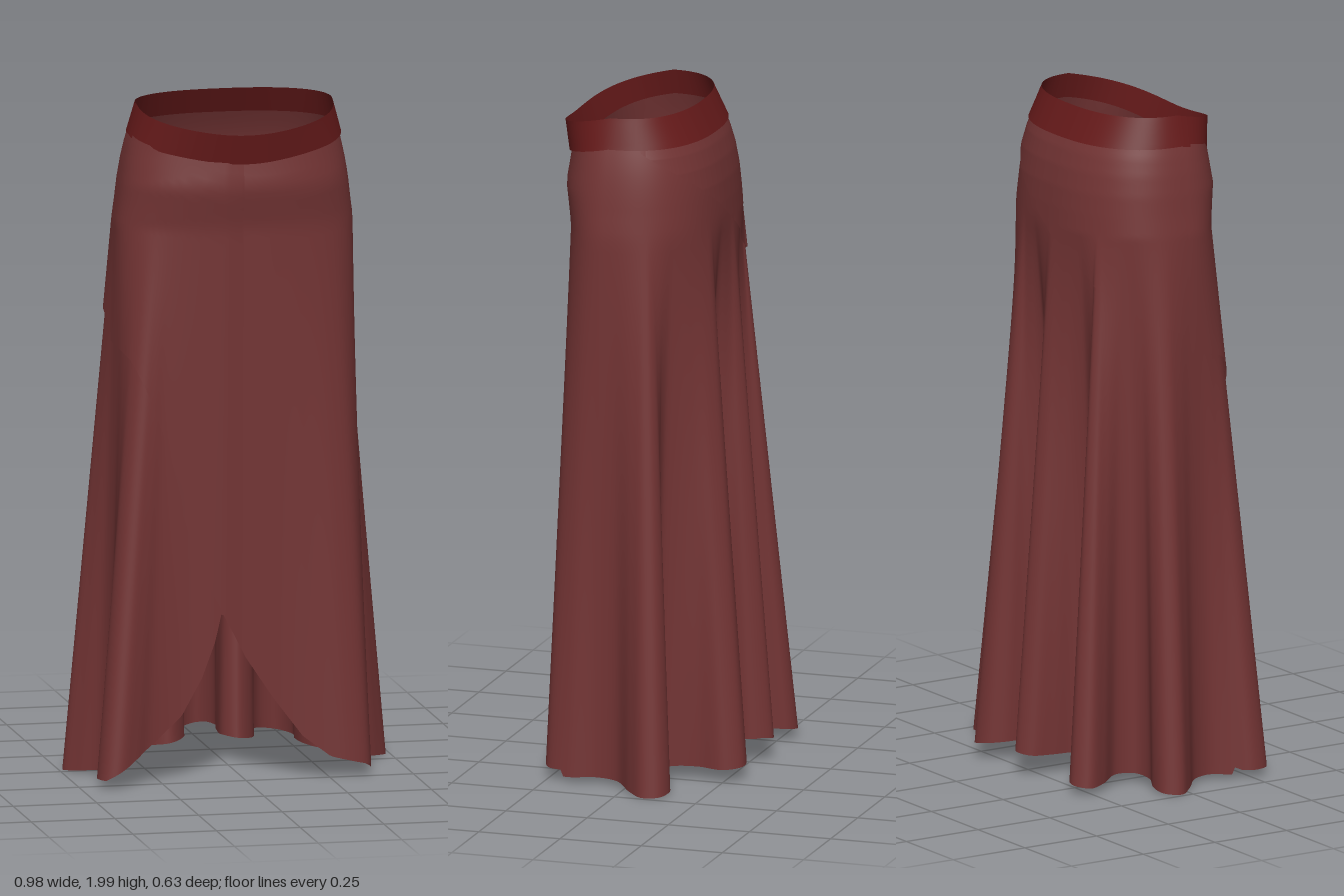
import * as THREE from 'three';

const N = 400;            // columns around the skirt
const CZ = 0.08;          // z of the body axis
const Y_HIP = 1.65;       // folds start below this height
const Y_HEM = 0.04;

// Hem outline as [x, z], running front -> left -> back -> right
const HEM = [
  [0, 0.24], [0.12, 0.24], [0.2, 0.255], [0.3, 0.27], [0.365, 0.25], [0.385, 0.18], [0.37, 0.1], [0.385, 0.03],
  [0.45, -0.03], [0.485, -0.08], [0.47, -0.13], [0.42, -0.145], [0.37, -0.11], [0.33, -0.06], [0.28, -0.05],
  [0.245, -0.1], [0.235, -0.17], [0.245, -0.25], [0.21, -0.3], [0.16, -0.295], [0.125, -0.25], [0.115, -0.18],
  [0.09, -0.09], [0.04, -0.05], [0, -0.08], [0, -0.17], [0.015, -0.26], [-0.03, -0.315], [-0.075, -0.29],
  [-0.09, -0.22], [-0.1, -0.15], [-0.15, -0.1], [-0.205, -0.13], [-0.25, -0.22], [-0.27, -0.28], [-0.31, -0.295],
  [-0.35, -0.26], [-0.33, -0.2], [-0.285, -0.13], [-0.3, -0.07], [-0.35, -0.055], [-0.41, -0.08], [-0.46, -0.075],
  [-0.485, -0.03], [-0.45, 0.02], [-0.4, 0.07], [-0.385, 0.13], [-0.41, 0.19], [-0.445, 0.25], [-0.43, 0.3],
  [-0.39, 0.315], [-0.34, 0.29], [-0.29, 0.255], [-0.2, 0.235], [-0.1, 0.238],
];

// Hip profile: [y, half width, back z, front z], top down
const PROFILE = [
  [1.93, 0.3, -0.13, 0.256], [1.88, 0.314, -0.152, 0.255], [1.83, 0.325, -0.167, 0.262],
  [1.77, 0.335, -0.178, 0.272], [1.71, 0.342, -0.184, 0.262], [1.65, 0.35, -0.188, 0.252],
];

// Front edges as [x, y]: the upper panel sweeps down to the left, the under panel to the right
const WRAP_EDGE = [[-0.39, 1.33], [-0.33, 1.26], [-0.27, 1.13], [-0.22, 0.98], [-0.19, 0.82], [-0.12, 0.62],
  [-0.07, 0.51], [0, 0.37], [0.08, 0.25], [0.17, 0.13], [0.25, 0.07], [0.37, 0.04]];
const UNDER_EDGE = [[-0.43, 0.03], [-0.36, 0.07], [-0.27, 0.13], [-0.19, 0.2], [-0.13, 0.31], [-0.09, 0.42], [-0.07, 0.51]];

// Linear lookup in a table sorted by its first entry
function lookup(table, x, k = 1) {
  if (x <= table[0][0]) return table[0][k];
  for (let i = 1; i < table.length; i++) {
    const a = table[i - 1], b = table[i];
    if (x <= b[0]) return a[k] + (b[k] - a[k]) * (x - a[0]) / (b[0] - a[0]);
  }
  return table[table.length - 1][k];
}
const PROFILE_UP = [...PROFILE].reverse();

// Rounded oval around the body, angle measured from the front towards the left
function oval(theta, rx, zb, zf) {
  const s = Math.sin(theta), c = Math.cos(theta), n = 2.4;
  const rz = c > 0 ? zf - CZ : CZ - zb;
  const r = (Math.abs(s / rx) ** n + Math.abs(c / rz) ** n) ** (-1 / n);
  return [r * s, CZ + r * c];
}

// Grid of cols x rows, optionally closed around; point(i, t) with t from top to bottom
function sheet(cols, rows, closed, point) {
  const pos = [], index = [];
  for (let i = 0; i < cols; i++)
    for (let j = 0; j <= rows; j++) pos.push(...point(i, j / rows));
  for (let i = 0; i < (closed ? cols : cols - 1); i++)
    for (let j = 0; j < rows; j++) {
      const a = i * (rows + 1) + j, b = ((i + 1) % cols) * (rows + 1) + j;
      index.push(a, a + 1, b, b, a + 1, b + 1);
    }
  const g = new THREE.BufferGeometry();
  g.setAttribute('position', new THREE.Float32BufferAttribute(pos, 3));
  g.setIndex(index);
  g.computeVertexNormals();
  return g;
}

export function createModel() {
  const group = new THREE.Group();
  group.name = 'wrapSkirt';

  const curve = new THREE.CatmullRomCurve3(HEM.map(([x, z]) => new THREE.Vector3(x, 0, z)), true);
  curve.arcLengthDivisions = 1500;
  const hem = curve.getSpacedPoints(N).slice(0, N);

  // Body angle of each column: the hem angle, unwrapped and smoothed across the folds
  const raw = [];
  let last = 0;
  for (const p of hem) {
    const a = Math.atan2(p.x, p.z - CZ);
    last += Math.atan2(Math.sin(a - last), Math.cos(a - last));
    raw.push(last);
  }
  const W = 20;
  const theta = raw.map((_, i) => {
    let sum = 0;
    for (let k = i - W; k <= i + W; k++) sum += raw[(k + N) % N] + 2 * Math.PI * Math.floor(k / N);
    return sum / (2 * W + 1);
  });

  const dip = (a) => Math.max(0, Math.cos(a));
  const bandBottom = (a) => 1.908 - 0.068 * dip(a);
  const bandTop = (a) => 1.997 - 0.068 * dip(a);

  // Cloth point of a column at a height, pushed outwards by an offset
  function cloth(i, y, offset = 0) {
    const yy = Math.max(y, Y_HIP);
    let [x, z] = oval(theta[i], ...[1, 2, 3].map((k) => lookup(PROFILE_UP, yy, k)));
    if (y < Y_HIP) {
      const w = (Y_HIP - y) / (Y_HIP - Y_HEM);
      x += (hem[i].x - x) * w;
      z += (hem[i].z - z) * w;
    }
    const d = Math.hypot(x, z - CZ);
    return [x + offset * x / d, y, z + offset * (z - CZ) / d];
  }

  // Height where a column meets an edge given over x
  function meet(i, edge) {
    let y = 0.4;
    for (let k = 0; k < 30; k++) y += 0.5 * (lookup(edge, cloth(i, y)[0]) - y);
    return y;
  }
  const isFront = (i) => hem[i].z > 0.2;
  const hemY = (i) => 0.08 - 0.155 * Math.abs(hem[i].x);
  const low = hem.map((_, i) => {
    if (!isFront(i)) return hemY(i);
    const y = meet(i, WRAP_EDGE);
    return Math.max(hemY(i), cloth(i, y)[0] >= -0.07 && y < 0.52 ? y : meet(i, UNDER_EDGE));
  });

  const fabric = new THREE.MeshStandardMaterial({ color: 0x733434, side: THREE.DoubleSide });
  const trim = new THREE.MeshStandardMaterial({ color: 0x661a1a, side: THREE.DoubleSide });
  const add = (name, geometry, material) => {
    const mesh = new THREE.Mesh(geometry, material);
    mesh.name = name;
    group.add(mesh);
  };

  // Main skirt with deep folds and the split front
  add('skirt', sheet(N, 60, true, (i, t) => {
    const top = bandBottom(theta[i]) + 0.015;
    return cloth(i, top + (low[i] - top) * t);
  }), fabric);

  // Upper wrap panel: its edge spirals from the left waist, round the back, to the front split
  const start = theta.findIndex((a) => a > Math.PI / 2 + 0.3);
  add('wrapPanel', sheet(N - start, 40, false, (k, t) => {
    const i = start + k, a = theta[i];
    const top = bandBottom(a) + 0.01;
    const a0 = Math.PI / 2 + 0.3, a1 = 1.5 * Math.PI;
    let edge;
    if (a < a1) edge = 1.9 - 0.56 * (a - a0) / (a1 - a0);
    else edge = Math.min(1.34, meet(i, WRAP_EDGE));
    edge = Math.min(top, edge);
    const fade = THREE.MathUtils.clamp((N - 1 - i) / 6, 0, 1);
    return cloth(i, top + (edge - top) * t, 0.001 + 0.006 * fade * Math.min(1, k / 6));
  }), fabric);

  // Waistband, dipping and leaning outwards at the front
  add('waistband', sheet(120, 6, true, (i, t) => {
    const a = i / 120 * 2 * Math.PI;
    const [x, z] = oval(a, 0.291 + 0.024 * t, -0.108 - 0.045 * t, 0.285 - 0.019 * t);
    return [x, bandTop(a) + (bandBottom(a) - bandTop(a)) * t, z];
  }), trim);

  return group;
}
